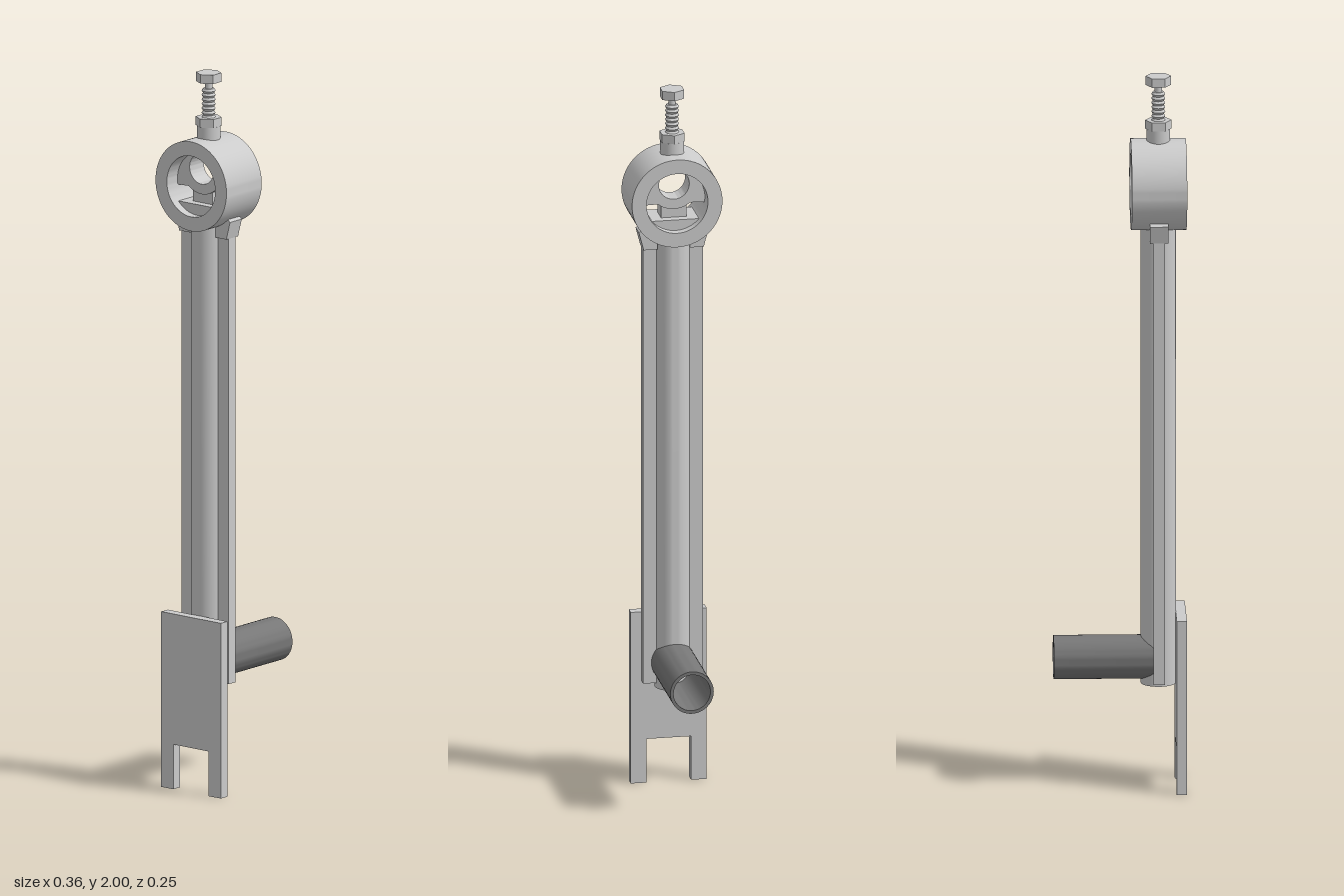
import * as THREE from 'three';
import { toCreasedNormals } from 'three/addons/utils/BufferGeometryUtils.js';

const CX = -0.105, RING_Y = 1.695;
const grey = new THREE.MeshStandardMaterial({ color: 0xcccccc });
const dark = new THREE.MeshStandardMaterial({ color: 0x777777, side: THREE.DoubleSide });

export function createModel() {
  const model = new THREE.Group();

  const add = (name, geometry, x = 0, y = 0, z = 0, material = grey) => {
    const mesh = new THREE.Mesh(geometry, material);
    mesh.name = name;
    mesh.position.set(x, y, z);
    model.add(mesh);
    return mesh;
  };
  // Extrudes a z-y outline along x, centred on its thickness
  const slab = (shape, thickness) => {
    const g = new THREE.ExtrudeGeometry(shape, { depth: thickness, bevelEnabled: false, curveSegments: 40 });
    g.translate(0, 0, -thickness / 2).rotateY(Math.PI / 2);
    return toCreasedNormals(g, 0.6);
  };
  const polygon = pts => new THREE.Shape(pts.map(p => new THREE.Vector2(...p)));
  const circle = (r, y = 0) => new THREE.Path().absarc(0, y, r, 0, Math.PI * 2);
  const disc = r => new THREE.Shape().absarc(0, 0, r, 0, Math.PI * 2);
  // Part of a disc between two angles, closed by its chord
  const segment = (r, a, b) => new THREE.Shape().absarc(0, 0, r, a, b);

  // Clamp collar at the top
  const collar = disc(0.125);
  collar.holes.push(circle(0.085));
  add('collar', slab(collar, 0.15), CX, RING_Y);

  // Jaws inside the collar: upper one with a round hole, lower one a flat pad
  const dip = Math.asin(0.015 / 0.085);
  const upper = new THREE.Shape();
  upper.absarc(0, 0, 0.086, -dip, Math.PI + dip);
  upper.absarc(0, 0.04, 0.07, Math.PI * 1.28, Math.PI * 1.72);
  upper.holes.push(circle(0.042, 0.04));
  add('upperJaw', slab(upper, 0.06), CX, RING_Y);
  const low = Math.asin(0.055 / 0.086);
  add('lowerJaw', slab(segment(0.086, Math.PI + low, Math.PI * 2 - low), 0.1), CX, RING_Y);
  add('jawStem', new THREE.BoxGeometry(0.05, 0.04, 0.07), CX, RING_Y - 0.04);

  // Arm: hollow tube with a fin along each side
  const tube = new THREE.LatheGeometry(
    [[0.038, 0.29], [0.048, 0.29], [0.048, 1.6], [0.038, 1.6], [0.038, 0.29]].map(p => new THREE.Vector2(...p)), 40);
  add('armTube', toCreasedNormals(tube, 0.6), CX);
  for (const s of [-1, 1]) {
    add('armFin', new THREE.BoxGeometry(0.03, 1.285, 0.039), CX, 0.9475, s * 0.0635);
    // Gusset under the collar
    const gusset = polygon([[0.045, 1.55], [0.083, 1.55], [0.096, 1.6], [0.085, 1.61], [0.045, 1.59]]
      .map(([z, y]) => [s * z, y]));
    add('gusset', slab(gusset, 0.05), CX);
  }

  // Forked foot plate
  const plate = polygon([[-0.105, 0], [-0.062, 0], [-0.062, 0.125], [0.062, 0.125],
    [0.062, 0], [0.105, 0], [0.105, 0.49], [-0.105, 0.49]]);
  add('footPlate', slab(plate, 0.028), -0.166);

  // Side handle tube, its inner end cut to fit round the arm
  const handle = new THREE.LatheGeometry(
    [[0.051, 0], [0.06, 0], [0.06, 0.18], [0.051, 0.18], [0.051, 0]].map(p => new THREE.Vector2(...p)), 48);
  handle.rotateZ(-Math.PI / 2);
  const pos = handle.attributes.position;
  for (let i = 0; i < pos.count; i++) {
    if (pos.getX(i) > 0.1) continue;
    const z = pos.getZ(i);
    pos.setX(i, Math.max(-0.09, CX + Math.sqrt(Math.max(0, 0.048 ** 2 - z * z))));
  }
  add('handleTube', toCreasedNormals(handle, 0.6), 0, 0.363, 0, dark);

  // Boss, lock nut and clamping bolt
  const hex = (r, h) => new THREE.CylinderGeometry(r, r, h, 6).rotateY(Math.PI / 6).toNonIndexed();
  const flat = g => { g.computeVertexNormals(); return g; };
  add('boss', new THREE.CylinderGeometry(0.032, 0.032, 0.04, 32), CX, 1.832);
  add('lockNut', flat(hex(0.036, 0.024)), CX, 1.864);
  add('boltHead', flat(hex(0.035, 0.025)), CX, 1.9875);
  add('boltNeck', new THREE.CylinderGeometry(0.01, 0.01, 0.03, 20), CX, 1.963);
  const thread = [new THREE.Vector2(0, 1.77)];
  for (let i = 0; i <= 30; i++) thread.push(new THREE.Vector2(i % 2 ? 0.019 : 0.015, 1.77 + i * 0.0062));
  thread.push(new THREE.Vector2(0, 1.956));
  add('boltThread', toCreasedNormals(new THREE.LatheGeometry(thread, 24), 0.5), CX);

  return model;
}
